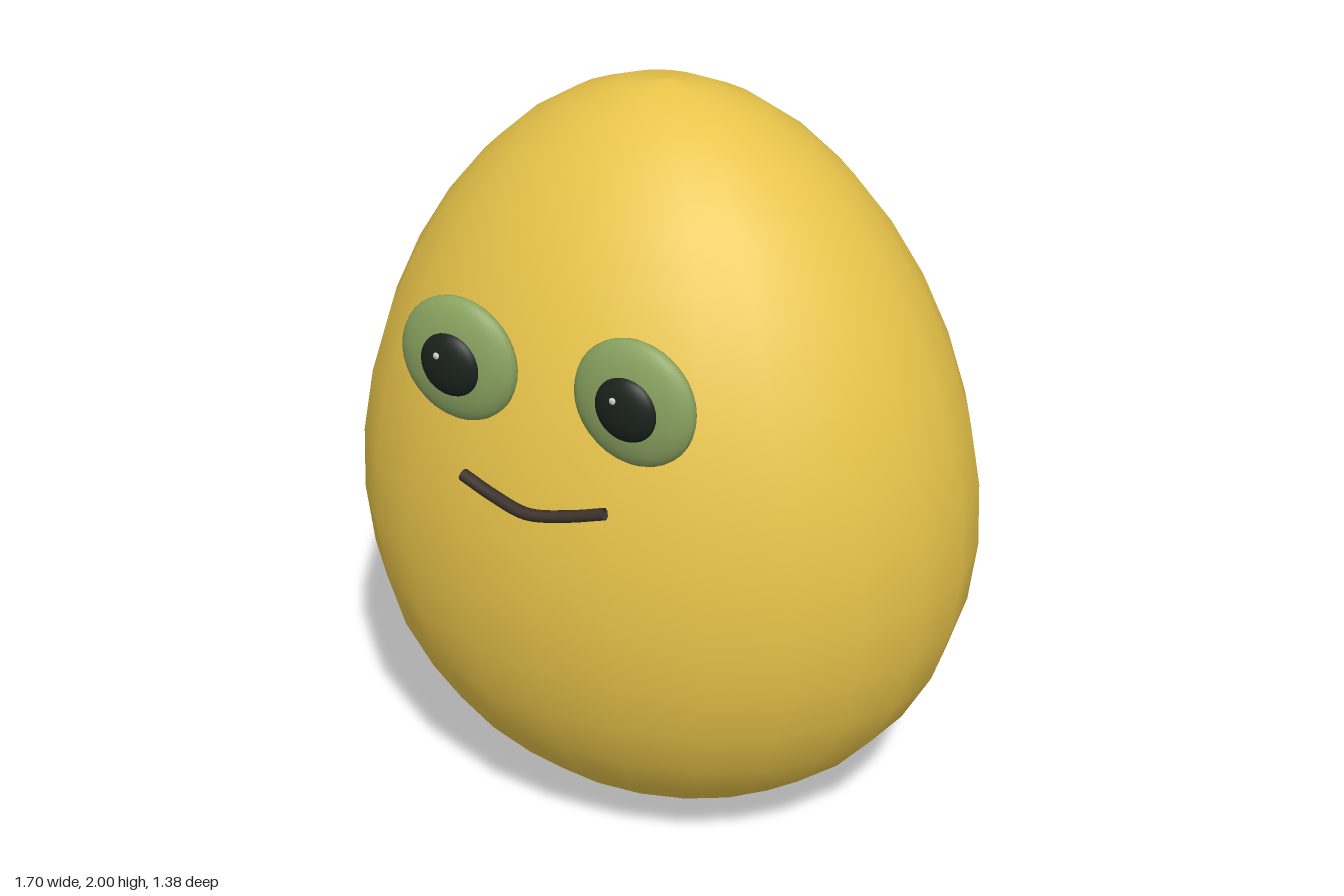
import * as THREE from 'three';

const paint = (color) => new THREE.MeshStandardMaterial({ color });

// Flattened sphere at a given position
function ellipsoid(name, material, position, radii, segments = 24) {
  const mesh = new THREE.Mesh(new THREE.SphereGeometry(1, segments, Math.ceil(segments * 0.75)), material);
  mesh.name = name;
  mesh.position.set(...position);
  mesh.scale.set(...radii);
  return mesh;
}

export function createModel() {
  const model = new THREE.Group();
  model.name = 'eggCharacter';

  // Egg body: a sphere that widens toward the bottom and is flattened in depth
  const egg = new THREE.SphereGeometry(1, 24, 18);
  const p = egg.attributes.position;
  for (let i = 0; i < p.count; i++) {
    const y = p.getY(i);
    const r = 0.844 - 0.12 * y + 0.012 * y * y;
    p.setXYZ(i, p.getX(i) * r, y, p.getZ(i) * r * 0.795);
  }
  egg.computeVertexNormals();
  const body = new THREE.Mesh(egg, paint(0xe8c44a));
  body.name = 'body';
  body.position.set(0, 1, -0.015);
  model.add(body);

  // Eyes: flat green disc, dark pupil and a tiny highlight
  const green = paint(0x8aa360);
  const dark = paint(0x1a211d);
  const white = paint(0xffffff);
  for (const side of [-1, 1]) {
    const eye = new THREE.Group();
    eye.name = side > 0 ? 'leftEye' : 'rightEye';
    eye.position.set(side * 0.243, 1.435, 0.575);
    eye.add(
      ellipsoid('eyeball', green, [0, 0, 0], [0.163, 0.163, 0.05]),
      ellipsoid('pupil', dark, [0, 0, 0.038], [0.083, 0.083, 0.035]),
      ellipsoid('highlight', white, [-0.02, 0.03, 0.069], [0.009, 0.009, 0.005], 10)
    );
    model.add(eye);
  }

  // Smiling mouth
  const smile = new THREE.CatmullRomCurve3([
    new THREE.Vector3(-0.2, 1.16, 0.645),
    new THREE.Vector3(-0.1, 1.133, 0.66),
    new THREE.Vector3(0, 1.119, 0.674),
    new THREE.Vector3(0.1, 1.133, 0.66),
    new THREE.Vector3(0.2, 1.16, 0.645),
  ]);
  const lip = paint(0x3a3029);
  lip.side = THREE.DoubleSide;
  const mouth = new THREE.Mesh(new THREE.TubeGeometry(smile, 20, 0.016, 8), lip);
  mouth.name = 'mouth';
  model.add(mouth);

  return model;
}
